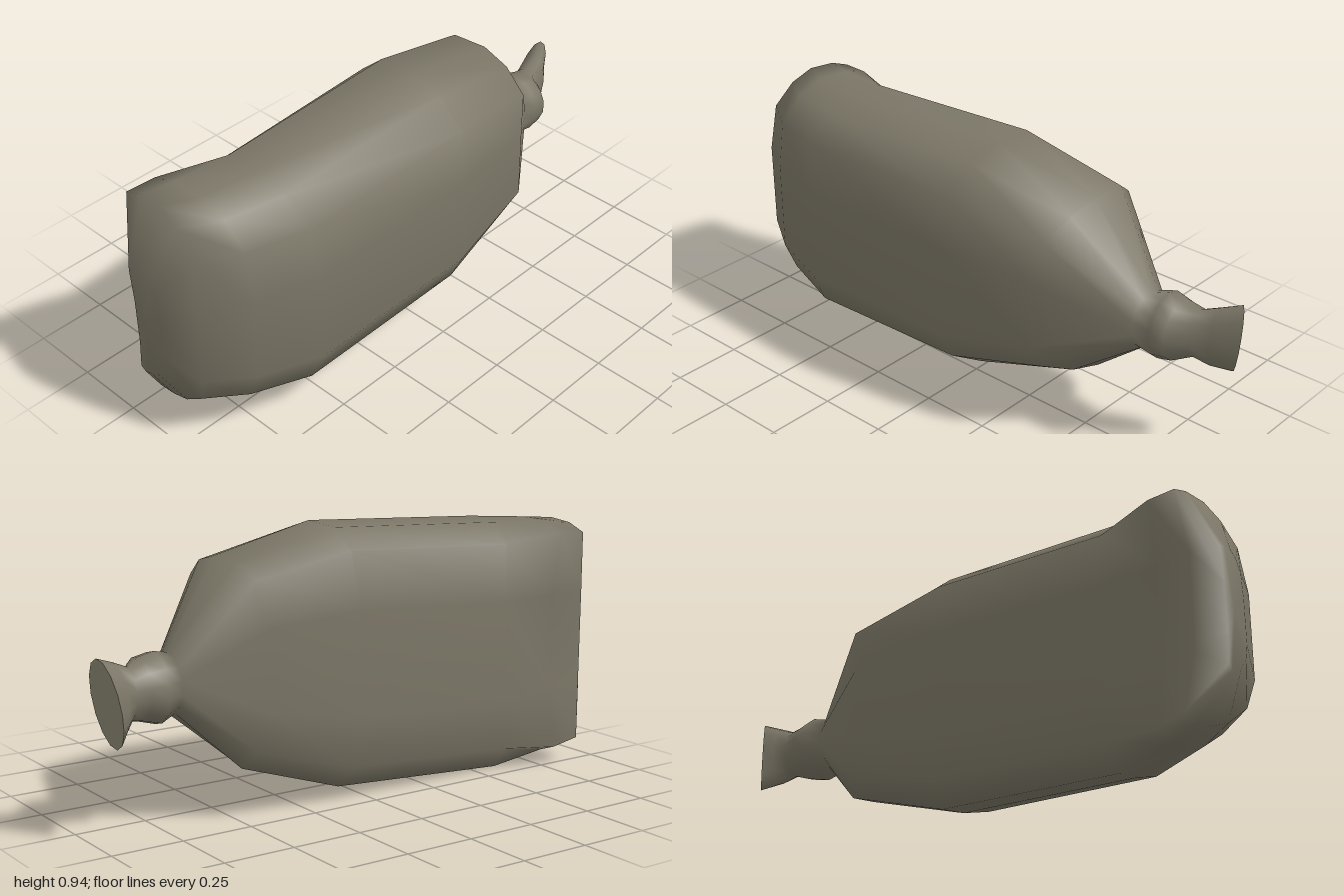
import * as THREE from 'three';

// Cross-sections [z, y] in -1..1: rounded front, flatter back
const front = [[1.02, -0.41], [1.02, 0.33], [0.9, 0.74], [0.48, 0.92], [0, 1], [-0.58, 0.98]];
const under = [[-0.68, -1], [-0.25, -0.955], [0.25, -0.86], [0.79, -0.67]];
const middle = [...front, [-0.9, 0.82], [-1, 0.38], [-1, -0.44], [-0.94, -0.82], ...under];
// Closed end: back corners stand out, back dips between them
const end = [...front, [-1, 0.91], [-0.85, 0.38], [-0.85, -0.44], [-1, -0.94], ...under];
// Gathered neck
const oval = middle.map((_, j) => {
  const a = -0.22 + (j / middle.length) * Math.PI * 2;
  return [Math.cos(a), Math.sin(a)];
});

// Ring of points; bow pushes top and bottom along x, sy / sz / lean tilt the ring
function ring(shape, x, y0, y1, z0, z1, { bow = 0, sy = 0, sz = 0, lean = 0 } = {}) {
  return shape.map(([z, y]) => [
    x + bow * y * y + sy * y + sz * z,
    (y0 + y1) / 2 + (y * (y1 - y0)) / 2,
    (z0 + z1) / 2 + (z * (z1 - z0)) / 2 + lean * y,
  ]);
}

const centre = (r) => [0, 1, 2].map((c) => r.reduce((s, p) => s + p[c], 0) / r.length);

function geometry(pos, idx) {
  const g = new THREE.BufferGeometry();
  g.setAttribute('position', new THREE.Float32BufferAttribute(pos, 3));
  g.setIndex(idx);
  g.computeVertexNormals();
  return g;
}

// Smooth skin over rings ordered from -x to +x, closed at the -x end
function loft(rings) {
  const n = middle.length, idx = [];
  const pos = [...rings.flat(2), ...centre(rings[0])];
  for (let j = 0; j < n; j++) {
    const k = (j + 1) % n;
    idx.push(rings.length * n, j, k);
    for (let i = 0; i < rings.length - 1; i++) {
      const a = i * n + j, b = i * n + k;
      idx.push(a, a + n, b, b, a + n, b + n);
    }
  }
  return geometry(pos, idx);
}

// Disc closing a ring towards +x
function disc(r) {
  const n = r.length;
  return geometry([...r.flat(), ...centre(r)], r.flatMap((_, j) => [n, (j + 1) % n, j]));
}

export function createModel() {
  const group = new THREE.Group();
  group.name = 'tiedSack';
  const cloth = new THREE.MeshStandardMaterial({ color: 0x7b7666 });
  cloth.name = 'drab cloth';
  const add = (name, geo) => {
    const mesh = new THREE.Mesh(geo, cloth);
    mesh.name = name;
    group.add(mesh);
  };

  const mouth = ring(oval, 0.962, 0.31, 0.595, -0.205, -0.14, { sy: 0.022, sz: 0.03, lean: 0.02 });

  // Filled sack lying along x, running into the knot and flared neck
  add('sackBody', loft([
    ring(end, -1, 0.235, 0.67, -0.17, -0.045),
    ring(end, -0.945, 0.062, 0.885, -0.27, 0.08, { bow: 0.035, sz: -0.012 }),
    ring(end, -0.8, 0.038, 0.89, -0.26, 0.175),
    ring(middle, -0.57, 0, 0.902, -0.238, 0.238, { bow: -0.03 }),
    ring(middle, 0.06, 0.045, 0.935, -0.25, 0.265, { bow: 0.04 }),
    ring(middle, 0.41, 0.175, 0.85, -0.255, 0.216, { bow: 0.08 }),
    ring(oval, 0.69, 0.362, 0.565, -0.158, 0.025),
    ring(oval, 0.75, 0.342, 0.578, -0.19, 0.024),
    ring(oval, 0.805, 0.357, 0.565, -0.18, 0.02),
    ring(oval, 0.855, 0.372, 0.545, -0.17, -0.05),
    ring(oval, 0.905, 0.34, 0.57, -0.19, -0.075, { sy: 0.01, sz: 0.01, lean: 0.01 }),
    mouth,
  ]));

  // Pinched opening of the sack
  add('mouth', disc(mouth));

  return group;
}
